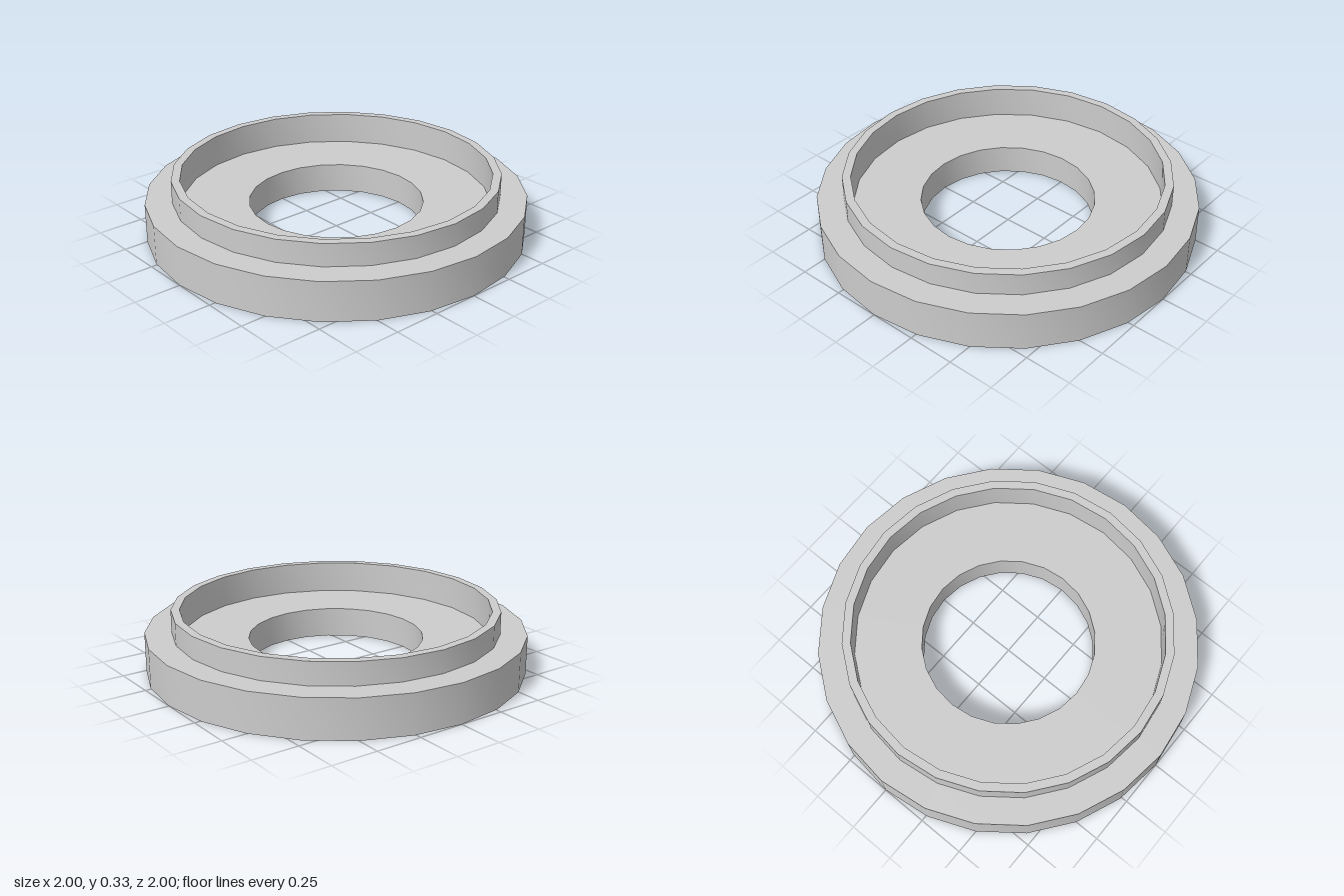
import * as THREE from 'three';
import { toCreasedNormals } from 'three/addons/utils/BufferGeometryUtils.js';

const SIDES = 24;
const HOLE = 0.46, RIM_IN = 0.815, RIM_OUT = 0.86, OUTER = 1;
const FLOOR = 0.16, STEP = 0.21, TOP = 0.33;

// Spins a [radius, height] profile; round walls stay smooth, corners stay sharp
function turned(name, profile, material) {
  const points = profile.map(([r, y]) => new THREE.Vector2(r, y));
  const geometry = toCreasedNormals(new THREE.LatheGeometry(points, SIDES), 0.6);
  const mesh = new THREE.Mesh(geometry, material);
  mesh.name = name;
  return mesh;
}

export function createModel() {
  const grey = new THREE.MeshStandardMaterial({ color: 0xcccccc });
  grey.name = 'light grey';

  const group = new THREE.Group();
  group.name = 'steppedRing';

  // Base: recessed floor, through hole, underside, outer wall and step
  group.add(turned('baseFlange', [
    [RIM_IN, FLOOR], [HOLE, FLOOR], [HOLE, 0], [OUTER, 0], [OUTER, STEP], [RIM_OUT, STEP],
  ], grey));

  // Thin raised rim whose inner wall drops to the recessed floor
  group.add(turned('raisedRim', [
    [RIM_OUT, STEP], [RIM_OUT, TOP], [RIM_IN, TOP], [RIM_IN, FLOOR],
  ], grey));

  return group;
}
